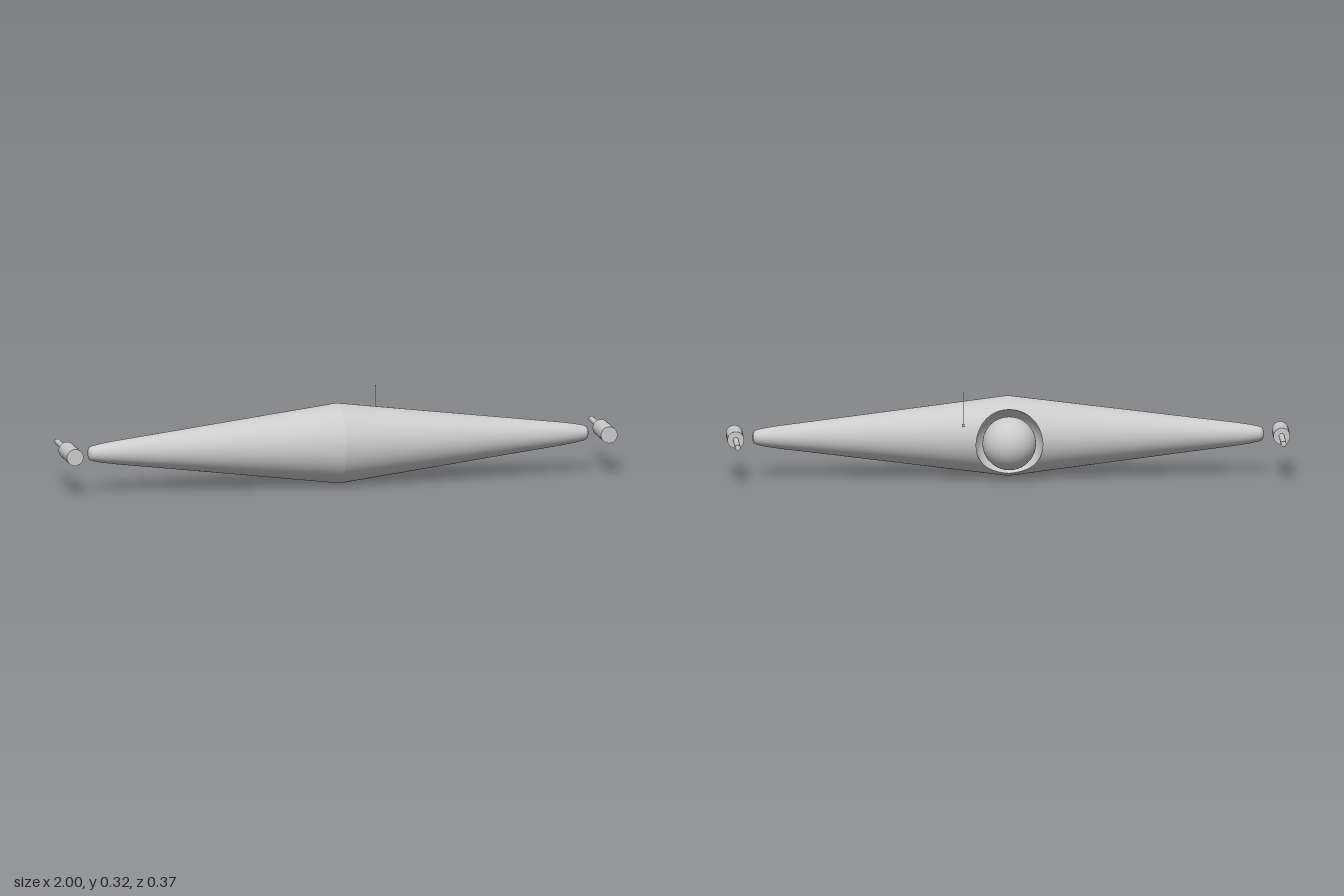
import * as THREE from 'three';

const AXIS = new THREE.Vector3(0, 0.145, 0.043);      // long axis of the hull
const BALL = new THREE.Vector3(0, -0.01, -0.108);     // ball centre, relative to the axis
const SOCKET = 0.12;                                  // radius of the hollow around the ball
const SLOPE = 0.103 / 0.82;
const hullRadius = (x) => 0.143 - SLOPE * x;
const PATCH = 0.3;                                    // half length of the hull patch around the socket

const material = new THREE.MeshStandardMaterial({ color: 0xcccccc });

function addMesh(parent, name, geometry, x = 0, y = 0, z = 0) {
  const mesh = new THREE.Mesh(geometry, material);
  mesh.name = name;
  mesh.position.set(x, y, z);
  parent.add(mesh);
  return mesh;
}

// Grid surface from a rule giving position and normal at (u, v)
function gridSurface(nu, nv, rule) {
  const positions = [], normals = [], index = [];
  for (let j = 0; j <= nv; j++) {
    for (let i = 0; i <= nu; i++) {
      const { p, n } = rule(i / nu, j / nv);
      positions.push(p.x, p.y, p.z);
      normals.push(n.x, n.y, n.z);
      if (i < nu && j < nv) {
        const a = j * (nu + 1) + i, d = a + nu + 1;
        index.push(a, a + 1, d, a + 1, d + 1, d);
      }
    }
  }
  const geometry = new THREE.BufferGeometry();
  geometry.setAttribute('position', new THREE.Float32BufferAttribute(positions, 3));
  geometry.setAttribute('normal', new THREE.Float32BufferAttribute(normals, 3));
  geometry.setIndex(index);
  return geometry;
}

// Point where the spherical socket meets the hull, in direction t around the ball
function rim(t) {
  let rho = SOCKET, x, y, z;
  for (let k = 0; k < 50; k++) {
    x = rho * Math.cos(t);
    y = BALL.y + rho * Math.sin(t);
    z = -Math.sqrt(Math.max(0, hullRadius(x) ** 2 - y * y));
    rho = 0.5 * (rho + Math.sqrt(SOCKET ** 2 - (z - BALL.z) ** 2));
  }
  return { x, y, z };
}

const angleAt = (u) => (u - 0.5) * Math.PI;

// Back of the hull, running from the socket rim out to a rectangle
function rimPatch(u, v) {
  const t = angleAt(u), c = Math.cos(t), s = Math.sin(t);
  const edge = rim(t);
  const k = 1 / Math.max(Math.abs(c), Math.abs(s));
  const x = THREE.MathUtils.lerp(edge.x, PATCH * c * k, v);
  const phi = THREE.MathUtils.lerp(Math.asin(edge.y / hullRadius(edge.x)), (Math.PI / 2) * s * k, v);
  const r = hullRadius(x);
  return {
    p: new THREE.Vector3(x, r * Math.sin(phi), -r * Math.cos(phi)),
    n: new THREE.Vector3(SLOPE, Math.sin(phi), -Math.cos(phi)).normalize(),
  };
}

// Hollow spherical seat, from its deepest point to the rim
function socketPatch(u, v) {
  const t = angleAt(u);
  const theta = v * Math.acos((rim(t).z - BALL.z) / SOCKET);
  const dir = new THREE.Vector3(
    Math.sin(theta) * Math.cos(t), Math.sin(theta) * Math.sin(t), Math.cos(theta));
  return { p: dir.clone().multiplyScalar(SOCKET).add(BALL), n: dir.clone().negate() };
}

// Half turn of the tapering hull, from x = start to the tip
function hullShell(start, phiStart) {
  const profile = [
    [hullRadius(start), start], [hullRadius(0.6), 0.6], [0.041, 0.815], [0.034, 0.86],
    [0.027, 0.893], [0.021, 0.904], [0.013, 0.907], [0, 0.907],
  ].map(([r, x]) => new THREE.Vector2(r, x));
  return new THREE.LatheGeometry(profile, 40, phiStart, Math.PI).rotateZ(-Math.PI / 2);
}

function hullHalf() {
  const half = new THREE.Group();
  addMesh(half, 'hullFront', hullShell(0, -Math.PI / 2));
  addMesh(half, 'hullBack', hullShell(PATCH, Math.PI / 2));
  addMesh(half, 'hullAroundSocket', gridSurface(64, 12, rimPatch));
  addMesh(half, 'ballSocket', gridSurface(64, 16, socketPatch));
  return half;
}

// Wing tip pod with a thin barrel pointing backwards
function tipPod() {
  const pod = new THREE.Group();
  const rod = (r, length) => new THREE.CylinderGeometry(r, r, length, 32).rotateX(Math.PI / 2);
  addMesh(pod, 'podBody', rod(0.03, 0.14), 0, 0, 0.045);
  addMesh(pod, 'podBarrel', rod(0.01, 0.16), 0, 0, -0.105);
  return pod;
}

export function createModel() {
  const model = new THREE.Group();
  model.name = 'taperedCraft';

  // Hull halves and pods, mirrored left and right
  for (const [side, sign] of [['left', 1], ['right', -1]]) {
    const half = hullHalf();
    half.name = side + 'Hull';
    half.position.copy(AXIS);
    half.scale.x = sign;
    model.add(half);

    const pod = tipPod();
    pod.name = side + 'Pod';
    pod.position.set(sign * 0.97, 0.147, 0);
    model.add(pod);
  }

  // Ball seated in the back of the hull
  const ball = BALL.clone().add(AXIS);
  addMesh(model, 'ball', new THREE.SphereGeometry(0.095, 48, 32), ball.x, ball.y, ball.z);

  // Antenna with a small foot and tip
  const antenna = new THREE.Group();
  antenna.name = 'antenna';
  antenna.position.set(0.164, 0, -0.085);
  addMesh(antenna, 'antennaFoot', new THREE.CylinderGeometry(0.005, 0.005, 0.01, 16), 0, 0.204, 0);
  addMesh(antenna, 'antennaRod', new THREE.CylinderGeometry(0.001, 0.001, 0.114, 8), 0, 0.265, 0);
  addMesh(antenna, 'antennaTip', new THREE.SphereGeometry(0.002, 12, 8), 0, 0.322, 0);
  model.add(antenna);

  return model;
}
